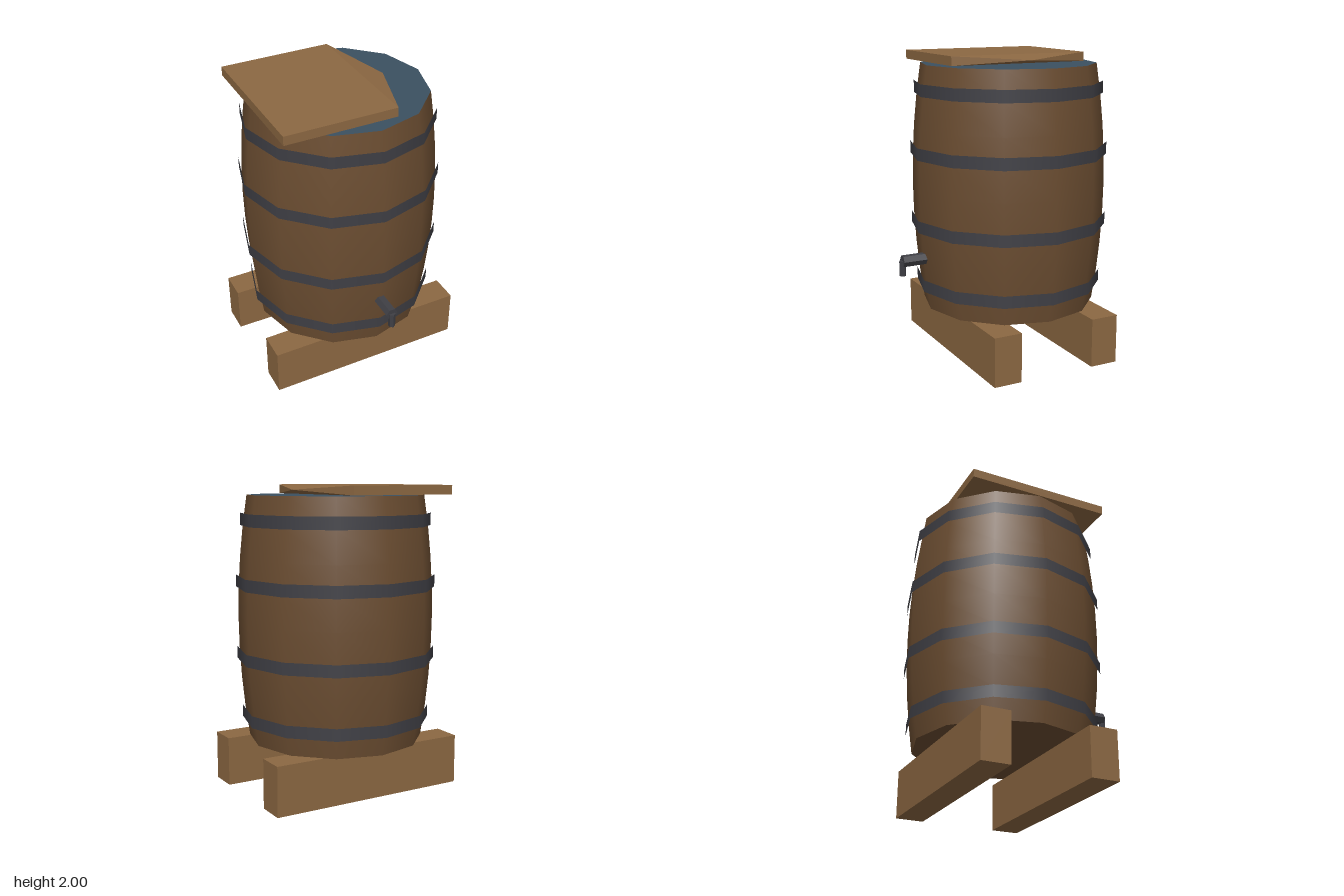
import * as THREE from 'three';

const SIDES = 12;
const CENTER_Z = -0.07; // barrel axis
const BOTTOM = 0.325, TOP = 1.937;

const material = (name, color) => new THREE.MeshStandardMaterial({ name, color });

// Gives every face its own normal
function faceted(geometry) {
  const flat = geometry.toNonIndexed();
  flat.computeVertexNormals();
  return flat;
}

export function createModel() {
  const staveWood = material('dark stave wood', 0x6b4d31);
  const plankWood = material('light plank wood', 0x8c6842);
  const iron = material('iron', 0x3f3f45);
  const water = material('water', 0x3b5061);

  const model = new THREE.Group();
  model.name = 'barrelOnBeams';
  const add = (parent, name, geometry, mat, x = 0, y = 0, z = 0) => {
    const mesh = new THREE.Mesh(geometry, mat);
    mesh.name = name;
    mesh.position.set(x, y, z);
    parent.add(mesh);
    return mesh;
  };

  // Barrel: bulging twelve-sided wall, closed below, water to the rim
  const barrel = new THREE.Group();
  barrel.name = 'barrel';
  barrel.position.z = CENTER_Z;
  model.add(barrel);
  const profile = [];
  for (let i = 0; i <= 8; i++) {
    const t = i / 4 - 1;
    profile.push(new THREE.Vector2(0.645 - 0.065 * t * t, THREE.MathUtils.lerp(BOTTOM, TOP, i / 8)));
  }
  add(barrel, 'barrelWall', new THREE.LatheGeometry(profile, SIDES), staveWood);
  add(barrel, 'barrelBottom', new THREE.CircleGeometry(0.58, SIDES).rotateX(Math.PI / 2), staveWood, 0, BOTTOM);
  add(barrel, 'waterSurface', new THREE.CircleGeometry(0.58, SIDES).rotateX(-Math.PI / 2), water, 0, TOP);

  // Iron hoops, open shells standing slightly off the wall
  for (const [y, radius] of [[0.49, 0.625], [0.895, 0.657], [1.375, 0.657], [1.78, 0.625]]) {
    add(barrel, 'hoop', new THREE.CylinderGeometry(radius, radius, 0.08, SIDES, 1, true), iron, 0, y);
  }

  // Tap: horizontal pipe with a downward nozzle
  const tap = new THREE.Group();
  tap.name = 'tap';
  model.add(tap);
  const pipe = new THREE.CylinderGeometry(0.04, 0.04, 0.22, 6).rotateY(Math.PI / 2).rotateX(Math.PI / 2);
  add(tap, 'tapPipe', faceted(pipe), iron, 0, 0.682, 0.595);
  add(tap, 'tapNozzle', faceted(new THREE.CylinderGeometry(0.023, 0.023, 0.1, 6)), iron, 0, 0.635, 0.704);

  // Lid pushed aside: a board whose right end tapers to a point
  const lid = new THREE.Group();
  lid.name = 'lid';
  lid.position.set(0, 1.97, CENTER_Z);
  model.add(lid);
  const thick = 0.06, deep = 0.966;
  add(lid, 'lidBoard', new THREE.BoxGeometry(0.74, thick, deep), plankWood, -0.21);
  const tip = new THREE.ConeGeometry(Math.SQRT1_2, 0.16, 4, 1, true)
    .rotateY(Math.PI / 4).scale(thick, 1, deep).rotateZ(-Math.PI / 2);
  add(lid, 'lidTip', faceted(tip), plankWood, 0.24);

  // Two support beams
  for (const z of [0.285, -0.425]) {
    add(model, 'supportBeam', new THREE.BoxGeometry(1.352, BOTTOM, 0.19), plankWood, 0, BOTTOM / 2, z);
  }

  return model;
}
